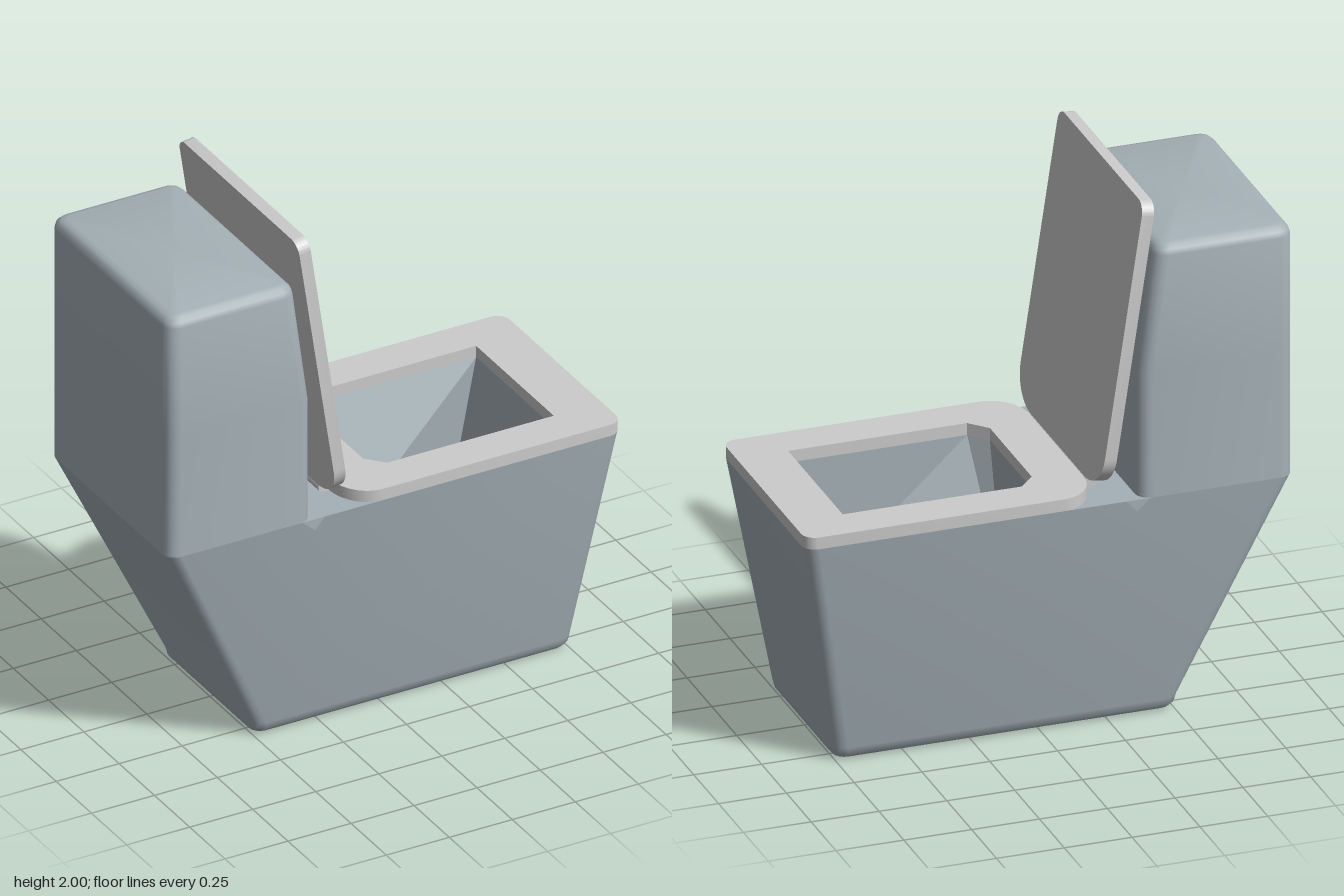
import * as THREE from 'three';
import { toCreasedNormals } from 'three/addons/utils/BufferGeometryUtils.js';

const HALF = 0.425, DECK = 0.875, THICK = 0.045;
const ceramic = new THREE.MeshStandardMaterial({ color: 0xa5b1b7 });
const ceramicInside = new THREE.MeshStandardMaterial({ color: 0xa5b1b7, side: THREE.DoubleSide });
const plastic = new THREE.MeshStandardMaterial({ color: 0xcccccc });

function add(parent, name, geometry, material) {
  const mesh = new THREE.Mesh(geometry, material);
  mesh.name = name;
  parent.add(mesh);
  return mesh;
}

// Rounded rectangle at height y, counter-clockwise seen from above
function ring(y, x0, x1, hz, r) {
  const pts = [], n = 4;
  const centres = [[x1 - r, hz - r], [x0 + r, hz - r], [x0 + r, r - hz], [x1 - r, r - hz]];
  centres.forEach(([cx, cz], k) => {
    for (let i = 0; i <= n; i++) {
      const a = (k + i / n) * Math.PI / 2;
      pts.push(new THREE.Vector3(cx + r * Math.cos(a), y, -(cz + r * Math.sin(a))));
    }
  });
  return pts;
}

// Skin through rings listed from bottom to top, with optional end caps
function loft(rings, capBottom, capTop, crease = 0.7) {
  const pts = rings.flat(), n = rings[0].length, index = [];
  for (let j = 0; j < rings.length - 1; j++) {
    for (let i = 0; i < n; i++) {
      const a = j * n + i, b = j * n + (i + 1) % n;
      index.push(a, b, b + n, a, b + n, a + n);
    }
  }
  const cap = (j, up) => {
    const c = new THREE.Vector3();
    rings[j].forEach(p => c.addScaledVector(p, 1 / n));
    const ci = pts.push(c) - 1;
    for (let i = 0; i < n; i++) {
      const a = j * n + i, b = j * n + (i + 1) % n;
      if (up) index.push(ci, a, b); else index.push(ci, b, a);
    }
  };
  if (capBottom) cap(0, false);
  if (capTop) cap(rings.length - 1, true);
  const geo = new THREE.BufferGeometry().setFromPoints(pts);
  geo.setIndex(index);
  return toCreasedNormals(geo, crease);
}

// Outline shared by seat and lid: wide curves at the hinge end, tight ones in front
function coverShape(x0, x1) {
  const s = new THREE.Shape(), r = 0.05;
  s.moveTo(x0 + 0.13, -HALF);
  s.lineTo(x1 - r, -HALF);
  s.absarc(x1 - r, r - HALF, r, -Math.PI / 2, 0);
  s.absarc(x1 - r, HALF - r, r, 0, Math.PI / 2);
  s.lineTo(x0 + 0.13, HALF);
  s.absellipse(x0 + 0.13, HALF - 0.155, 0.13, 0.155, Math.PI / 2, Math.PI);
  s.absellipse(x0 + 0.13, 0.155 - HALF, 0.13, 0.155, Math.PI, Math.PI * 1.5);
  return s;
}

function plate(shape) {
  const geo = new THREE.ExtrudeGeometry(shape, { depth: THICK, bevelEnabled: false, curveSegments: 8 });
  return toCreasedNormals(geo.rotateX(-Math.PI / 2), 0.6);
}

export function createModel() {
  const model = new THREE.Group();
  model.name = 'toilet';

  // Tapered pedestal with a rounded foot
  const rings = [];
  for (let i = 0; i <= 3; i++) {
    const a = i / 3 * Math.PI / 2, d = 0.045 * (1 - Math.sin(a));
    rings.push(ring(0.05 * (1 - Math.cos(a)), -0.515 + d, 0.765 - d, 0.33 - d, 0.055 - d * 0.6));
  }
  const rim = ring(DECK, -0.9, 0.9, HALF, 0.05);
  rings.push(rim);
  add(model, 'pedestal', loft(rings, true, false), ceramic);

  // Opening with two clipped corners at the back
  const opening = [[-0.01, -0.21], [0.05, -0.275], [0.71, -0.275], [0.71, 0.275], [0.05, 0.275], [-0.01, 0.21]]
    .map(p => new THREE.Vector2(...p));

  // Flat deck around the bowl
  const deck = new THREE.Shape(rim.map(p => new THREE.Vector2(p.x, -p.z)));
  deck.holes.push(new THREE.Path(opening));
  add(model, 'deck', new THREE.ShapeGeometry(deck).rotateX(-Math.PI / 2).translate(0, DECK, 0), ceramic);

  // Basin, its floor narrowing toward the back
  const floor = [[-0.01, -0.075], [-0.01, -0.075], [0.61, -0.275], [0.61, 0.275], [-0.01, 0.075], [-0.01, 0.075]];
  const bottom = floor.map(([x, z]) => new THREE.Vector3(x, 0.36, z));
  const top = opening.map(p => new THREE.Vector3(p.x, DECK, p.y));
  add(model, 'basin', loft([bottom, top], true, false, 0.05), ceramicInside);

  // Tank: upright, front leaning back above the middle, rounded top
  const tank = [ring(DECK, -0.9, -0.33, HALF, 0.05), ring(1.35, -0.9, -0.33, HALF, 0.05)];
  for (let i = 0; i <= 3; i++) {
    const a = i / 3 * Math.PI / 2, d = 0.04 * (1 - Math.cos(a));
    tank.push(ring(1.79 + 0.04 * Math.sin(a), -0.9 + d, -0.39 - d, HALF - d, 0.05 - d * 0.6));
  }
  add(model, 'tank', loft(tank, false, true), ceramic);

  // Small wedges where the tank front meets the pedestal sides
  const tri = new THREE.Shape([[-0.37, 0.875], [-0.32, 0.83], [-0.28, 0.875]].map(p => new THREE.Vector2(...p)));
  for (const side of [-1, 1]) {
    const geo = new THREE.ExtrudeGeometry(tri, { depth: 0.02, bevelEnabled: false });
    add(model, 'cornerWedge', geo, ceramic).position.z = side * 0.415 - 0.01;
  }

  // Seat ring
  const seatShape = coverShape(-0.18, 0.9);
  seatShape.holes.push(new THREE.Path(opening));
  add(model, 'seat', plate(seatShape), plastic).position.y = DECK;

  // Raised lid leaning back toward the tank
  const lid = add(model, 'lid', plate(coverShape(0, 1.092)), plastic);
  lid.position.set(-0.183, 0.92, 0);
  lid.rotation.z = THREE.MathUtils.degToRad(98.5);

  // Hinge rod
  const hinge = add(model, 'hinge', new THREE.CylinderGeometry(0.024, 0.024, 0.56, 12), plastic);
  hinge.rotation.x = Math.PI / 2;
  hinge.position.set(-0.203, 0.9, 0);

  return model;
}
